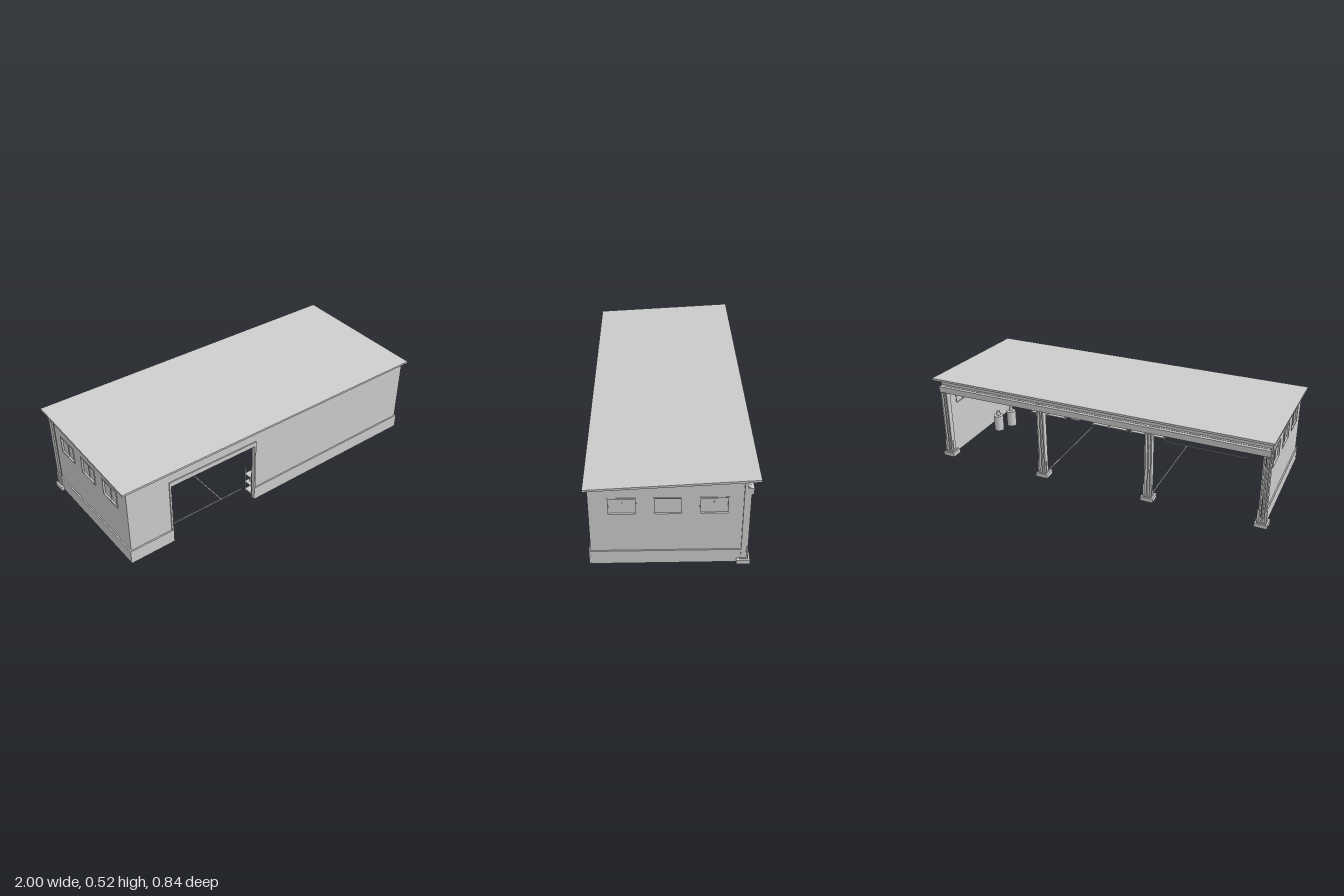
import * as THREE from 'three';

const grey = new THREE.MeshStandardMaterial({ color: 0xcccccc });
grey.name = 'light grey';

// Underside height of the sloping roof at depth z
const roofY = (z) => 0.464 + (0.42 - z) * 0.0524;

export function createModel() {
  const model = new THREE.Group();
  model.name = 'openShed';

  const add = (name, geo, parent = model) => {
    const m = new THREE.Mesh(geo, grey);
    m.name = name;
    parent.add(m);
    return m;
  };
  // Box given by its minimum and maximum on each axis
  const box = (name, x0, x1, y0, y1, z0, z1, parent = model) => {
    const m = add(name, new THREE.BoxGeometry(x1 - x0, y1 - y0, z1 - z0), parent);
    m.position.set((x0 + x1) / 2, (y0 + y1) / 2, (z0 + z1) / 2);
    return m;
  };
  const group = (name) => {
    const g = new THREE.Group();
    g.name = name;
    model.add(g);
    return g;
  };
  const shapeOf = (pts) => new THREE.Shape(pts.map((p) => new THREE.Vector2(...p)));
  // Side profile given as [z, y], extruded along x
  const profile = (pts, x0, x1, holes = []) => {
    const s = shapeOf(pts.map(([z, y]) => [-z, y]));
    s.holes = holes.map((h) => new THREE.Path(h.map(([z, y]) => new THREE.Vector2(-z, y))));
    const g = new THREE.ExtrudeGeometry(s, { depth: x1 - x0, bevelEnabled: false });
    return g.rotateY(Math.PI / 2).translate(x0, 0, 0);
  };
  const rect = (a, b, c, d) => [[a, c], [b, c], [b, d], [a, d]];
  // Beam that follows the roof slope
  const slopeBeam = (name, x, w, h, z0, z1, parent) => add(name, profile([
    [z0, roofY(z0) - h], [z1, roofY(z1) - h], [z1, roofY(z1)], [z0, roofY(z0)],
  ], x - w / 2, x + w / 2), parent);

  // Roof slab
  add('roof', profile([[-0.42, 0.508], [0.42, 0.464], [0.42, 0.475], [-0.42, 0.52]], -1, 1));

  // Front wall with the gateway
  const front = shapeOf([[-0.972, 0], [-0.715, 0], [-0.715, 0.372], [-0.175, 0.372],
    [-0.175, 0], [0.972, 0], [0.972, 0.465], [-0.972, 0.465]]);
  add('frontWall', new THREE.ExtrudeGeometry(front, { depth: 0.018, bevelEnabled: false })
    .translate(0, 0, 0.382));
  box('frontPlinth', -0.98, -0.715, 0, 0.08, 0.4, 0.408);
  box('frontPlinth', -0.175, 0.98, 0, 0.08, 0.4, 0.408);
  const frame = group('gateFrame');
  box('gateLintel', -0.725, -0.165, 0.372, 0.4, 0.4, 0.406, frame);
  box('gateJamb', -0.725, -0.715, 0.08, 0.372, 0.4, 0.406, frame);
  box('gateJamb', -0.175, -0.165, 0.08, 0.372, 0.4, 0.406, frame);
  box('gateRollerBox', -0.74, -0.15, 0.374, 0.42, 0.34, 0.382, frame);

  // End walls with three windows each
  const windows = [[0.168, 0.31], [-0.053, 0.088], [-0.276, -0.134]];
  for (const s of [-1, 1]) {
    const span = (a, b) => (s > 0 ? [a, b] : [-b, -a]);
    add('endWall', profile([[-0.345, 0], [0.4, 0], [0.4, roofY(0.4)], [-0.345, roofY(-0.345)]],
      ...span(0.954, 0.972), windows.map(([a, b]) => rect(a, b, 0.305, 0.405))));
    add('endPlinth', profile(rect(-0.345, 0.408, 0, 0.08), ...span(0.972, 0.979)));
    for (const [a, b] of windows) {
      const win = group('window');
      const [x0, x1] = span(0.952, 0.975);
      const t = 0.006, m = (a + b) / 2;
      box('windowSill', x0, x1, 0.303, 0.303 + t, a, b, win);
      box('windowHead', x0, x1, 0.405 - t, 0.405, a, b, win);
      for (const z of [a, b - t]) box('windowJamb', x0, x1, 0.303, 0.405, z, z + t, win);
      const [p0, p1] = span(0.959, 0.965);
      box('windowPane', p0, p1, 0.308, 0.4, a, b, win);
      const [q0, q1] = span(0.957, 0.968);
      box('windowMullion', q0, q1, 0.308, 0.4, m - 0.002, m + 0.002, win);
    }
  }

  // Steel columns on footings along the open back
  for (const x of [-0.962, -0.325, 0.325, 0.962]) {
    const col = group('column');
    box('footing', x - 0.036, x + 0.036, 0, 0.024, -0.39, -0.322, col);
    box('basePlate', x - 0.026, x + 0.026, 0.024, 0.03, -0.382, -0.338, col);
    box('columnWeb', x - 0.004, x + 0.004, 0.03, 0.46, -0.376, -0.346, col);
    for (const k of [-1, 1]) {
      const c = x + k * 0.017;
      box('columnFlange', c - 0.004, c + 0.004, 0.03, 0.46, -0.378, -0.344, col);
      const g = x + k * 0.024;
      box('columnGusset', g - 0.003, g + 0.003, 0.03, 0.1, -0.378, -0.37, col);
    }
    box('columnHead', x - 0.02, x + 0.02, 0.46, roofY(-0.35), -0.362, -0.345, col);
  }

  // Beam, curtain rail and gutter over the open back
  box('backBeamLower', -0.972, 0.972, 0.455, 0.461, -0.372, -0.343);
  box('backBeamWeb', -0.972, 0.972, 0.461, 0.494, -0.36, -0.354);
  box('backBeamUpper', -0.972, 0.972, 0.494, 0.5, -0.37, -0.343);
  box('curtainRail', -0.98, 0.98, 0.424, 0.459, -0.39, -0.372);

  // Roof rafters and purlins
  const frames = group('roofFrame');
  for (const x of [-0.65, -0.325, 0, 0.325, 0.65]) {
    slopeBeam('rafter', x, 0.02, 0.03, -0.345, 0.382, frames);
  }
  for (const z of [-0.2, 0, 0.2]) {
    box('purlin', -0.954, 0.954, roofY(z) - 0.022, roofY(z) + 0.001, z - 0.008, z + 0.008, frames);
  }
  for (const x of [-0.5, 0, 0.5]) {
    for (const z of [-0.1, 0.1]) {
      box('ceilingLamp', x + 0.02, x + 0.1, roofY(z) - 0.012, roofY(z), z - 0.012, z + 0.012, frames);
    }
  }

  // Thin channels along the floor
  for (const x of [-0.325, 0.325]) box('floorChannel', x - 0.003, x + 0.003, 0, 0.005, -0.322, 0.3);
  box('gateChannel', -0.71, -0.18, 0, 0.005, 0.293, 0.299);

  // Storage racks along the front wall
  for (const [x0, x1] of [[0.53, 0.79], [0.085, 0.335], [-0.17, 0.065]]) {
    const rack = group('storageRack');
    for (const y of [0.01, 0.065, 0.12]) box('rackShelf', x0, x1, y, y + 0.006, 0.315, 0.378, rack);
    for (const x of [x0, (x0 + x1) / 2, x1 - 0.006]) {
      for (const z of [0.315, 0.372]) box('rackPost', x, x + 0.006, 0, 0.165, z, z + 0.006, rack);
    }
    for (let i = 0; i < 4; i++) {
      const x = x0 + 0.02 + i * 0.055;
      box('rackCrate', x, x + 0.032, 0.071, 0.095, 0.335, 0.37, rack);
    }
  }
  box('cabinet', 0.44, 0.51, 0, 0.16, 0.345, 0.38);

  // Barrels near the left end
  for (const [x, z] of [[0.83, 0.13], [0.87, 0.04]]) {
    const b = group('barrel');
    add('barrelBody', new THREE.CylinderGeometry(0.03, 0.03, 0.1, 16), b).position.set(x, 0.05, z);
    add('barrelCap', new THREE.CylinderGeometry(0.012, 0.012, 0.03, 12), b).position.set(x, 0.115, z);
  }

  // Workbench with tool board and drawer shelf on the right end wall
  const bench = group('workbench');
  box('benchTop', -0.95, -0.875, 0.095, 0.105, 0.04, 0.36, bench);
  box('benchShelf', -0.95, -0.88, 0.03, 0.036, 0.05, 0.35, bench);
  for (const z of [0.045, 0.345]) {
    for (const x of [-0.945, -0.89]) box('benchLeg', x, x + 0.01, 0, 0.095, z, z + 0.01, bench);
  }
  box('toolBoard', -0.954, -0.948, 0.13, 0.22, 0.06, 0.3, bench);
  for (let i = 0; i < 5; i++) {
    const z = 0.09 + i * 0.045;
    box('hangingTool', -0.948, -0.942, 0.15, 0.205, z, z + 0.008, bench);
  }
  for (const y of [0.005, 0.055, 0.105, 0.155]) box('wallShelf', -0.952, -0.89, y, y + 0.006, -0.09, 0.02, bench);
  for (const z of [-0.094, 0.018]) box('wallShelfSide', -0.952, -0.89, 0, 0.165, z, z + 0.005, bench);

  return model;
}
